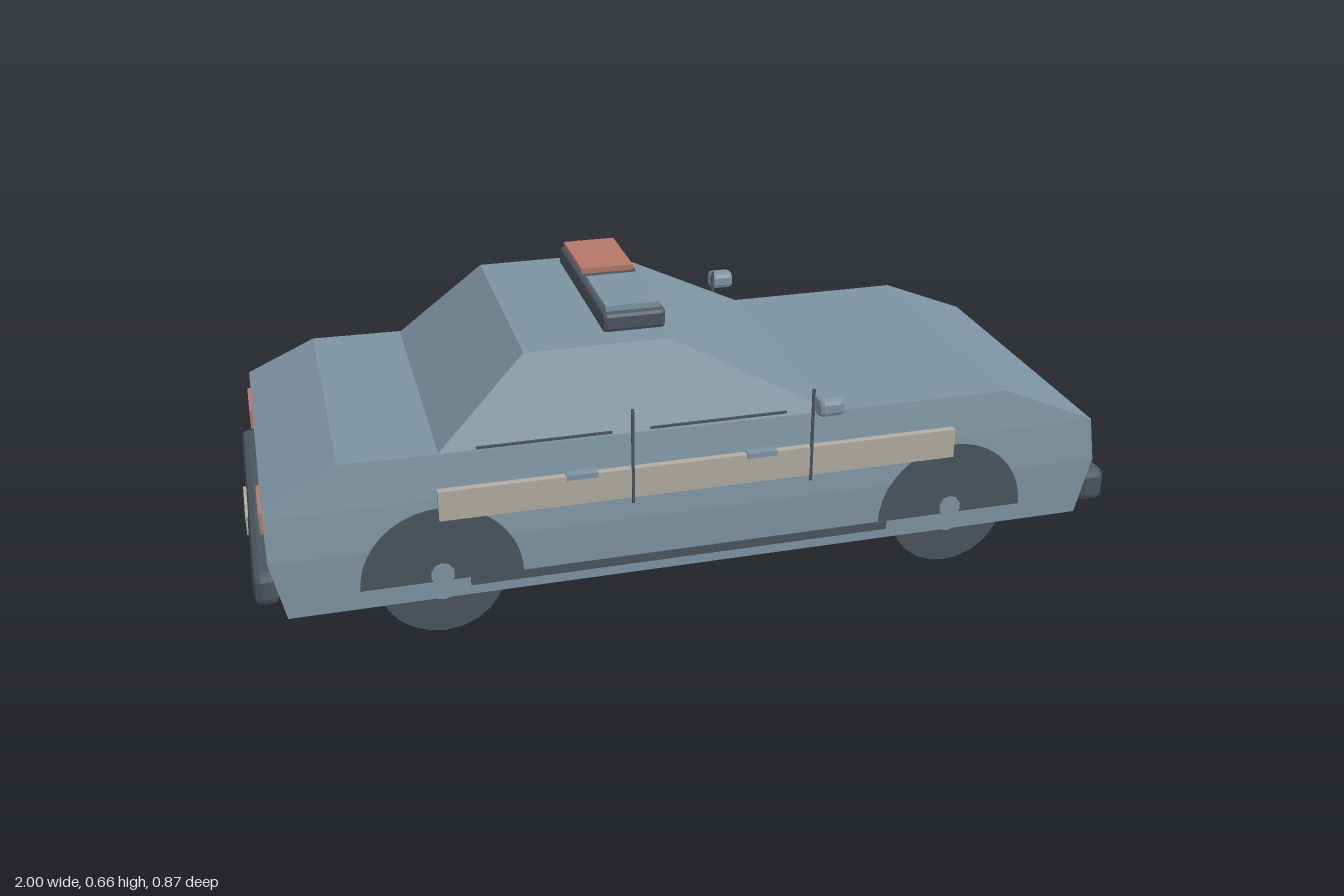
import * as THREE from 'three';
import { RoundedBoxGeometry } from 'three/addons/geometries/RoundedBoxGeometry.js';

const mat = (name, color) => {
  const m = new THREE.MeshStandardMaterial({ color });
  m.name = name;
  return m;
};

export function createModel() {
  const car = new THREE.Group();
  car.name = 'patrolCar';
  const body = mat('bodyBlueGrey', 0x7d94a2);
  const dark = mat('darkTrim', 0x4a555e);
  const pale = mat('paleTrim', 0xb3aca2);
  const red = mat('signalRed', 0xb4786a);

  const add = (name, geometry, material, x = 0, y = 0, z = 0) => {
    const mesh = new THREE.Mesh(geometry, material);
    mesh.name = name;
    mesh.position.set(x, y, z);
    car.add(mesh);
    return mesh;
  };
  // Box given by its min and max on each axis
  const box = (name, m, [x0, x1], [y0, y1], [z0, z1]) =>
    add(name, new THREE.BoxGeometry(x1 - x0, y1 - y0, z1 - z0), m,
      (x0 + x1) / 2, (y0 + y1) / 2, (z0 + z1) / 2);
  // Same, with chamfered edges
  const chamferBox = (name, m, [x0, x1], [y0, y1], [z0, z1], c) => {
    const g = new RoundedBoxGeometry(x1 - x0, y1 - y0, z1 - z0, 1, c);
    g.computeVertexNormals();
    return add(name, g, m, (x0 + x1) / 2, (y0 + y1) / 2, (z0 + z1) / 2);
  };
  // Side profile extruded across the car; half width goes from w0 at y0 to w1 at y1
  const hull = (name, points, [y0, w0], [y1, w1]) => {
    const shape = new THREE.Shape(points.map(([x, y]) => new THREE.Vector2(x, y)));
    const g = new THREE.ExtrudeGeometry(shape, { depth: 2, bevelEnabled: false }).translate(0, 0, -1);
    const p = g.attributes.position;
    for (let i = 0; i < p.count; i++) {
      p.setZ(i, p.getZ(i) * THREE.MathUtils.mapLinear(p.getY(i), y0, y1, w0, w1));
    }
    g.computeVertexNormals();
    return add(name, g, body);
  };

  // Body shell, stacked bands
  hull('lowerBody', [[-0.93, 0.085], [0.90, 0.085], [0.935, 0.22], [-0.96, 0.22]],
    [0.085, 0.384], [0.22, 0.384]);
  hull('middleBody', [[-0.96, 0.22], [0.935, 0.22], [0.925, 0.32], [-0.96, 0.32]],
    [0.22, 0.384], [0.32, 0.373]);
  hull('upperBody', [[-0.96, 0.32], [0.925, 0.32], [0.71, 0.41], [0.28, 0.41],
    [-0.59, 0.415], [-0.80, 0.418], [-0.96, 0.34]], [0.32, 0.373], [0.415, 0.356]);
  hull('cabin', [[-0.595, 0.41], [0.285, 0.41], [-0.07, 0.595], [-0.39, 0.595]],
    [0.41, 0.352], [0.595, 0.285]);

  // Roof light bar
  chamferBox('lightBar', dark, [-0.205, -0.063], [0.598, 0.644], [-0.235, 0.235], 0.01);
  box('redLamp', red, [-0.195, -0.073], [0.64, 0.657], [-0.222, -0.025]);
  box('blueLamp', body, [-0.195, -0.073], [0.64, 0.657], [0.025, 0.222]);

  // Nose and tail
  chamferBox('frontBumper', dark, [0.915, 0.98], [0.1, 0.18], [-0.375, 0.375], 0.017);
  chamferBox('pushGuard', dark, [0.955, 1.0], [0.12, 0.225], [-0.23, 0.23], 0.012);
  box('grille', dark, [0.915, 0.938], [0.23, 0.295], [-0.155, 0.155]);
  chamferBox('rearBumper', dark, [-0.995, -0.94], [0.115, 0.19], [-0.375, 0.375], 0.017);
  box('rearPlate', pale, [-1.0, -0.993], [0.13, 0.178], [-0.075, 0.075]);
  const pipe = new THREE.CylinderGeometry(0.014, 0.014, 0.08, 8).rotateZ(Math.PI / 2);
  add('exhaustPipe', pipe, body, -0.945, 0.1, -0.19);

  // Parts on both sides
  const arch = new THREE.CircleGeometry(0.176, 20, 0, Math.PI);
  const wheel = new THREE.CylinderGeometry(0.14, 0.14, 0.095, 24).rotateX(Math.PI / 2);
  const cap = new THREE.CylinderGeometry(0.06, 0.06, 0.008, 12).rotateX(Math.PI / 2);
  const hub = new THREE.CylinderGeometry(0.026, 0.026, 0.02, 10).rotateX(Math.PI / 2);
  for (const s of [1, -1]) {
    const side = s > 0 ? 'right' : 'left'; // seen with the nose on +x
    const span = (a, b) => (s > 0 ? [a, b] : [-b, -a]);

    box(side + 'Headlight', pale, [0.915, 0.948], [0.247, 0.295], span(0.195, 0.33));
    box(side + 'TailLight', red, [-0.968, -0.955], [0.265, 0.315], span(0.2, 0.33));

    for (const [end, x] of [['Rear', -0.6], ['Front', 0.575]]) {
      add(side + end + 'Wheel', wheel, dark, x, 0.14, s * 0.3315);
      add(side + end + 'WheelCap', cap, body, x, 0.14, s * 0.379);
      add(side + end + 'Hub', hub, body, x, 0.145, s * 0.38);
      const a = add(side + end + 'Arch', arch, dark, x, 0.128, s * 0.3855);
      if (s < 0) a.rotation.y = Math.PI;
    }

    box(side + 'SideStripe', pale, [-0.6, 0.575], [0.273, 0.342], span(0.37, 0.387));
    box(side + 'Sill', dark, [-0.54, 0.42], [0.108, 0.128], span(0.382, 0.387));
    for (const x of [-0.178, 0.23]) {
      box(side + 'DoorSeam', dark, [x - 0.003, x + 0.003], [0.26, 0.483], span(0.384, 0.389));
    }
    for (const x of [-0.29, 0.115]) {
      box(side + 'DoorHandle', body, [x - 0.034, x + 0.034], [0.334, 0.346], span(0.365, 0.391));
    }
    for (const [x0, x1] of [[-0.51, -0.215], [-0.13, 0.18]]) {
      box(side + 'WindowSeam', dark, [x0, x1], [0.416, 0.421], span(0.35, 0.355));
    }
    chamferBox(side + 'Mirror', body, [0.227, 0.288], [0.431, 0.473], span(0.389, 0.434), 0.012);
  }
  return car;
}
